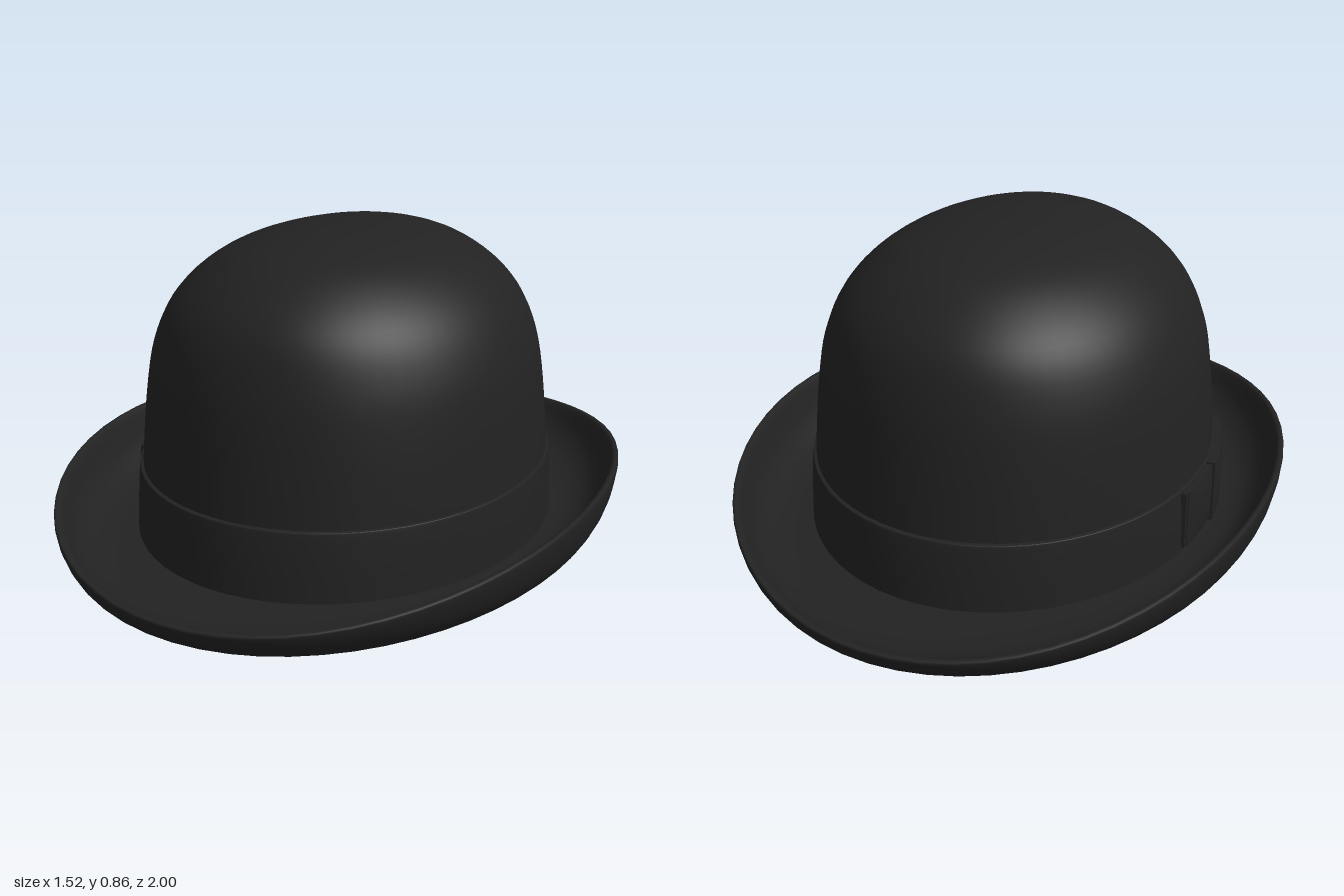
import * as THREE from 'three';

const felt = new THREE.MeshStandardMaterial({ color: 0x222222 });
felt.name = 'black felt';

// Oval loft. Each row: [side radius x, side height, end radius z, end height], outside rows run downward.
function ovalLoft(rows, steps = 4, segments = 64) {
  const side = new THREE.CatmullRomCurve3(rows.map(r => new THREE.Vector3(r[0], r[1], 0)), false, 'catmullrom');
  const end = new THREE.CatmullRomCurve3(rows.map(r => new THREE.Vector3(r[2], r[3], 0)), false, 'catmullrom');
  const count = (rows.length - 1) * steps;
  const positions = [], index = [];
  for (let i = 0; i <= count; i++) {
    const s = side.getPoint(i / count), e = end.getPoint(i / count);
    for (let j = 0; j < segments; j++) {
      const a = (j / segments) * Math.PI * 2, c = Math.cos(a), k = c * c;
      positions.push(s.x * c, s.y * k + e.y * (1 - k), e.x * Math.sin(a));
      if (i === count) continue;
      const n = (j + 1) % segments, p = i * segments, q = p + segments;
      index.push(p + j, p + n, q + j, p + n, q + n, q + j);
    }
  }
  const g = new THREE.BufferGeometry();
  g.setAttribute('position', new THREE.Float32BufferAttribute(positions, 3));
  g.setIndex(index);
  g.computeVertexNormals();
  return g;
}

// Ribbon piece bent around the right side of the band; bulge swells its middle.
function ribbon(width, height, thickness, z, y, bulge) {
  const g = new THREE.BoxGeometry(thickness, height, width, 1, 6, 12);
  const p = g.attributes.position;
  for (let i = 0; i < p.count; i++) {
    const u = p.getZ(i) / width * 2, v = p.getY(i) / height * 2;
    const zz = p.getZ(i) + z;
    const swell = p.getX(i) < 0 ? bulge * (1 - u * u) * (1 - v * v * v * v) : 0;
    p.setX(i, p.getX(i) - swell - 0.57 * Math.sqrt(1 - (zz / 0.69) ** 2));
    p.setY(i, p.getY(i) + y);
    p.setZ(i, zz);
  }
  g.computeVertexNormals();
  return g;
}

export function createModel() {
  const hat = new THREE.Group();
  hat.name = 'bowlerHat';
  const add = (name, geometry, parent = hat) => {
    const m = new THREE.Mesh(geometry, felt);
    m.name = name;
    parent.add(m);
  };

  // Domed crown, outer side
  const dome = [
    [0, 0.863, 0, 0.863], [0.13, 0.854, 0.18, 0.856], [0.28, 0.817, 0.36, 0.822],
    [0.39, 0.755, 0.48, 0.76], [0.47, 0.67, 0.565, 0.675], [0.52, 0.56, 0.61, 0.56],
    [0.543, 0.43, 0.635, 0.43], [0.558, 0.25, 0.656, 0.25], [0.562, 0.12, 0.668, 0.12],
    [0.564, 0.03, 0.675, 0.03],
  ];
  add('crown', ovalLoft(dome));

  // Crown lining, facing inward
  const lining = dome.map(([x, y, z, w]) => [
    Math.max(0, x - 0.02), y - 0.018, Math.max(0, z - 0.02), w - 0.018,
  ]).reverse();
  add('crownLining', ovalLoft(lining));

  // Brim curled up at the sides: top surface, rim, underside
  add('brim', ovalLoft([
    [0.55, 0.045, 0.66, 0.045], [0.61, 0.045, 0.76, 0.042], [0.665, 0.062, 0.86, 0.05],
    [0.71, 0.11, 0.93, 0.073], [0.738, 0.188, 0.975, 0.1], [0.75, 0.202, 0.99, 0.106],
    [0.76, 0.196, 1.0, 0.1], [0.755, 0.15, 0.985, 0.068], [0.738, 0.09, 0.955, 0.038],
    [0.705, 0.04, 0.91, 0.016], [0.65, 0.011, 0.83, 0.006], [0.59, 0.003, 0.72, 0.001],
    [0.555, 0.003, 0.67, 0.003], [0.544, 0.012, 0.655, 0.012],
  ]));

  // Ribbon band
  add('hatBand', ovalLoft([
    [0.552, 0.226, 0.65, 0.226], [0.564, 0.225, 0.667, 0.225], [0.568, 0.215, 0.673, 0.215],
    [0.572, 0.13, 0.684, 0.13], [0.575, 0.035, 0.692, 0.035],
  ]));

  // Flat bow on the right side
  const bow = new THREE.Group();
  bow.name = 'bow';
  hat.add(bow);
  add('bowBacking', ribbon(0.48, 0.165, 0.022, 0, 0.135, 0), bow);
  for (const s of [-1, 1]) add('bowLoop', ribbon(0.19, 0.165, 0.026, s * 0.135, 0.136, 0.008), bow);
  add('bowKnot', ribbon(0.11, 0.18, 0.04, 0, 0.134, 0.006), bow);

  return hat;
}
